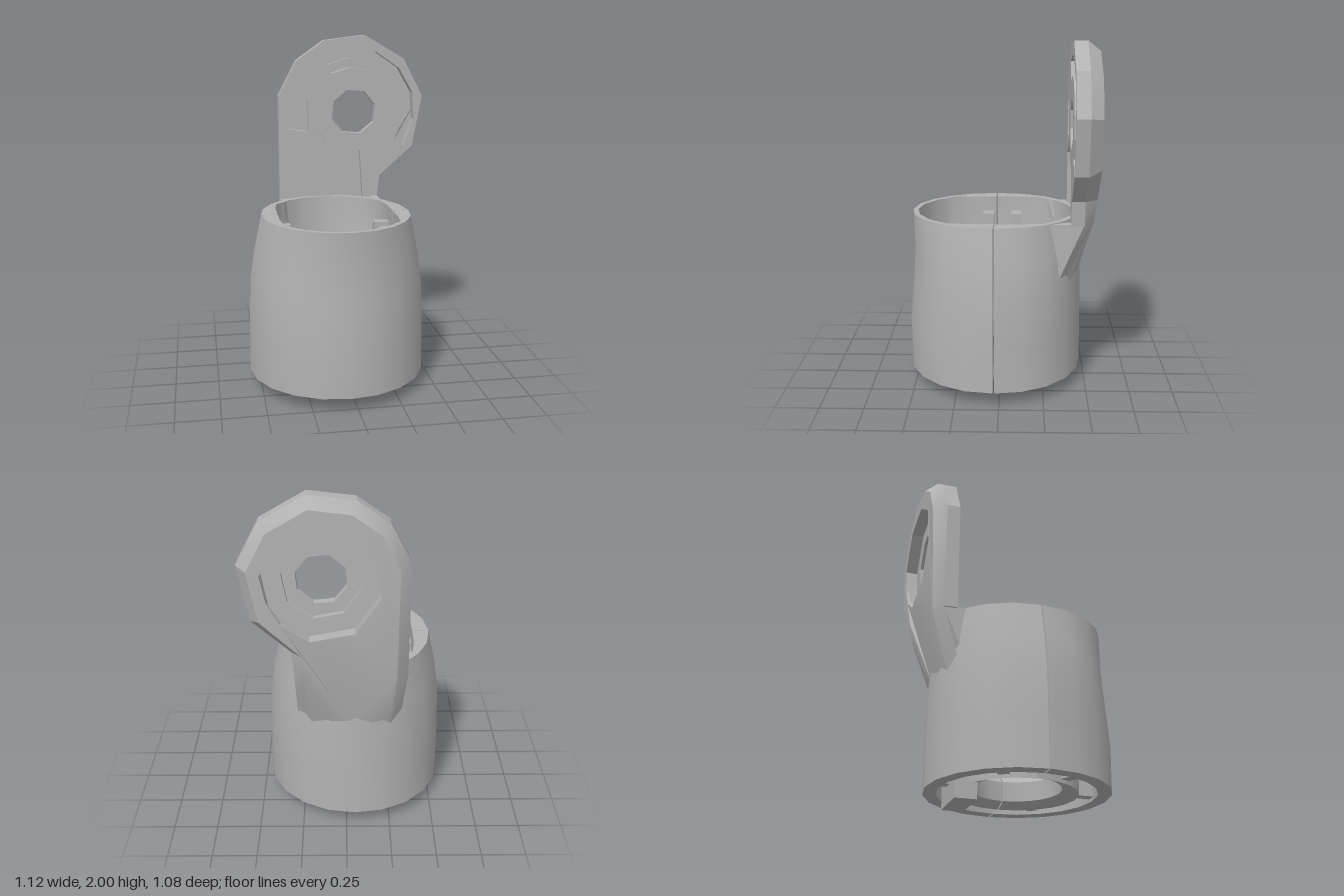
import * as THREE from 'three';
import { toCreasedNormals } from 'three/addons/utils/BufferGeometryUtils.js';
import { ConvexGeometry } from 'three/addons/geometries/ConvexGeometry.js';

const CX = -0.05, CZ = 0.03, GAP = 0.004;   // cup axis and half-width of the side slits
const RING = [0.13, 1.54];                  // centre of the eyelet

// Closed cup section: [side radius, front radius, back radius, height, flat side limit]
const SECTION = [
  [0.25, 0.24, 0.24, 0.11], [0.33, 0.33, 0.33, 0.08], [0.33, 0.33, 0.33, 0.2],
  [0.43, 0.43, 0.43, 0.2], [0.43, 0.43, 0.43, 0.08], [0.51, 0.505, 0.5, 0.08],
  [0.508, 0.51, 0.5, 0.35], [0.5, 0.485, 0.495, 0.62], [0.475, 0.475, 0.49, 0.8],
  [0.43, 0.48, 0.485, 1.01], [0.395, 0.45, 0.45, 1.01, 0.335], [0.395, 0.45, 0.42, 0.4, 0.335],
  [0.33, 0.4, 0.4, 0.3], [0.25, 0.24, 0.24, 0.22],
];

// Sweep the section through half a turn and close both ends
function halfShell(front) {
  const steps = 10, n = SECTION.length, pos = [], idx = [];
  const start = front ? 0 : Math.PI, side = front ? 1 : -1;
  for (let s = 0; s <= steps; s++) {
    const t = start + Math.PI * s / steps;
    for (const [rx, zf, zb, y, limit = 1] of SECTION) {
      const x = THREE.MathUtils.clamp(rx * Math.cos(t), -limit, limit);
      pos.push(CX + x, y, CZ + side * GAP + (front ? zf : zb) * Math.sin(t));
    }
  }
  for (let s = 0; s < steps; s++) {
    for (let i = 0; i < n; i++) {
      const a = s * n + i, b = s * n + (i + 1) % n;
      idx.push(a, b, b + n, a, b + n, a + n);
    }
  }
  const contour = SECTION.map(([r, , , y, limit = 1]) => new THREE.Vector2(Math.min(r, limit), y));
  for (const [a, b, c] of THREE.ShapeUtils.triangulateShape(contour, [])) {
    const e = steps * n;
    idx.push(a, c, b, e + a, e + b, e + c);
  }
  const g = new THREE.BufferGeometry();
  g.setAttribute('position', new THREE.Float32BufferAttribute(pos, 3));
  g.setIndex(idx);
  return toCreasedNormals(g, 0.6);
}

const vecs = pts => pts.map(p => new THREE.Vector2(...p));

// Points on an arc about the eyelet centre
function arc(r, a0, a1, steps) {
  return Array.from({ length: steps + 1 }, (_, i) => {
    const a = a0 + (a1 - a0) * i / steps;
    return [RING[0] + r * Math.cos(a), RING[1] + r * Math.sin(a)];
  });
}
const octagon = (r, turn) => arc(r, turn, turn + Math.PI * 1.75, 7);
const crescent = (r0, r1, a0, a1) => [...arc(r1, a0, a1, 6), ...arc(r0, a0, a1, 6).reverse()];

// Head of the arm, from right to left
const HEAD = [
  [0.28, 1.0], [0.295, 1.14], [0.5, 1.32], [0.56, 1.63], [0.44, 1.86], [0.2, 2.0],
  [-0.05, 1.97], [-0.22, 1.85], [-0.33, 1.64], [-0.33, 1.0],
];
// Recess running up from the mouth of the cup
const NOTCH = [
  [-0.24, 1.0], [-0.24, 1.32], [-0.09, 1.42], [-0.05, 1.37], [0.03, 1.31], [0.17, 1.3], [0.19, 1.0],
];
// Lower end, laid against the cup
const FOOT = [[-0.3, 0.66], [-0.17, 0.68], [-0.03, 0.69], [0.11, 0.68], [0.25, 0.66]];

function plate(outline, zBack, zFront, holes) {
  const shape = new THREE.Shape(vecs(outline));
  holes.forEach(h => shape.holes.push(new THREE.Path(vecs(h))));
  const g = new THREE.ExtrudeGeometry(shape, { depth: zFront - zBack, bevelEnabled: false });
  return g.translate(0, 0, zBack);
}

// Draw in the rear outer edge, and curve the foot of the arm into the cup wall
function bevelBack(g, zBack) {
  const p = g.attributes.position;
  for (let i = 0; i < p.count; i++) {
    const x = p.getX(i), y = p.getY(i), rear = p.getZ(i) < zBack + 0.001;
    if (rear && Math.hypot(x - RING[0], y - RING[1]) > 0.33) {
      if (y > 1.2) p.setXY(i, RING[0] + (x - RING[0]) * 0.87, RING[1] + (y - RING[1]) * 0.88);
      else p.setX(i, -0.02 + (x + 0.02) * 0.8);
      if (y > 0.8 && y < 1.05) p.setZ(i, -0.52);
    }
    if (y < 0.8) {
      const bow = Math.sqrt(1 - ((p.getX(i) - CX) / 0.5) ** 2);
      p.setZ(i, CZ - (rear ? 0.49 : 0.455) * bow);
    }
  }
  return toCreasedNormals(g, 0.45);
}

export function createModel() {
  const model = new THREE.Group();
  const grey = new THREE.MeshStandardMaterial({ color: 0xb2b2b2 });
  grey.name = 'plain grey';
  const add = (name, geometry) => {
    const m = new THREE.Mesh(geometry, grey);
    m.name = name;
    model.add(m);
    return m;
  };
  const box = (name, x0, x1, y0, y1, z0, z1) =>
    add(name, new THREE.BoxGeometry(x1 - x0, y1 - y0, z1 - z0))
      .position.set((x0 + x1) / 2, (y0 + y1) / 2, (z0 + z1) / 2);

  // Cup in two halves
  add('cupFrontHalf', halfShell(true));
  add('cupBackHalf', halfShell(false));

  // Ribs across the channel under the cup
  for (let i = 0; i < 6; i++) {
    const a = (i + 0.5) * Math.PI / 3;
    const rib = add('bottomRib', new THREE.BoxGeometry(0.12, 0.1, 0.06));
    rib.position.set(CX + 0.38 * Math.cos(a), 0.15, CZ + 0.38 * Math.sin(a));
    rib.rotation.y = -a;
  }

  // Clips inside the mouth of the cup
  for (const s of [-1, 1]) {
    const x = CX + s * 0.3;
    box('innerClip', x - 0.05, x + 0.05, 0.84, 0.92, 0.045, 0.115);
    box('innerClip', x - 0.05, x + 0.05, 0.84, 0.92, -0.12, -0.06);
  }

  // Arm layers: grooved front, stepped web, bevelled back
  add('armFront', plate([...HEAD, ...NOTCH], -0.44, -0.395, [
    octagon(0.14, 0.3),
    crescent(0.27, 0.385, -0.6, 2.1),
    [[-0.265, 1.44], [-0.15, 1.42], [-0.15, 1.62], [-0.265, 1.64]],
  ]));
  add('armWeb', plate(HEAD, -0.47, -0.44, [octagon(0.21, 0.2), crescent(0.325, 0.385, -0.6, 2.1)]));
  add('armBack', bevelBack(plate([...FOOT, ...HEAD], -0.54, -0.47, [octagon(0.315, 0.2)]), -0.54));

  // Gussets blending the sides of the arm into the cup
  for (const s of [-1, 1]) {
    const pts = [
      [0.3, 1.008, -0.28], [0.3, 1.008, -0.47], [0.24, 1.008, -0.52], [0.25, 1.008, -0.38],
      [0.295, 0.67, -0.325], [0.22, 0.67, -0.39],
    ].map(([x, y, z]) => new THREE.Vector3(-0.02 + s * x, y, z));
    add('gusset', new ConvexGeometry(pts));
  }

  // Locating tab under the cup
  box('bottomTab', -0.19, 0.08, 0, 0.13, -0.35, -0.23);
  return model;
}
